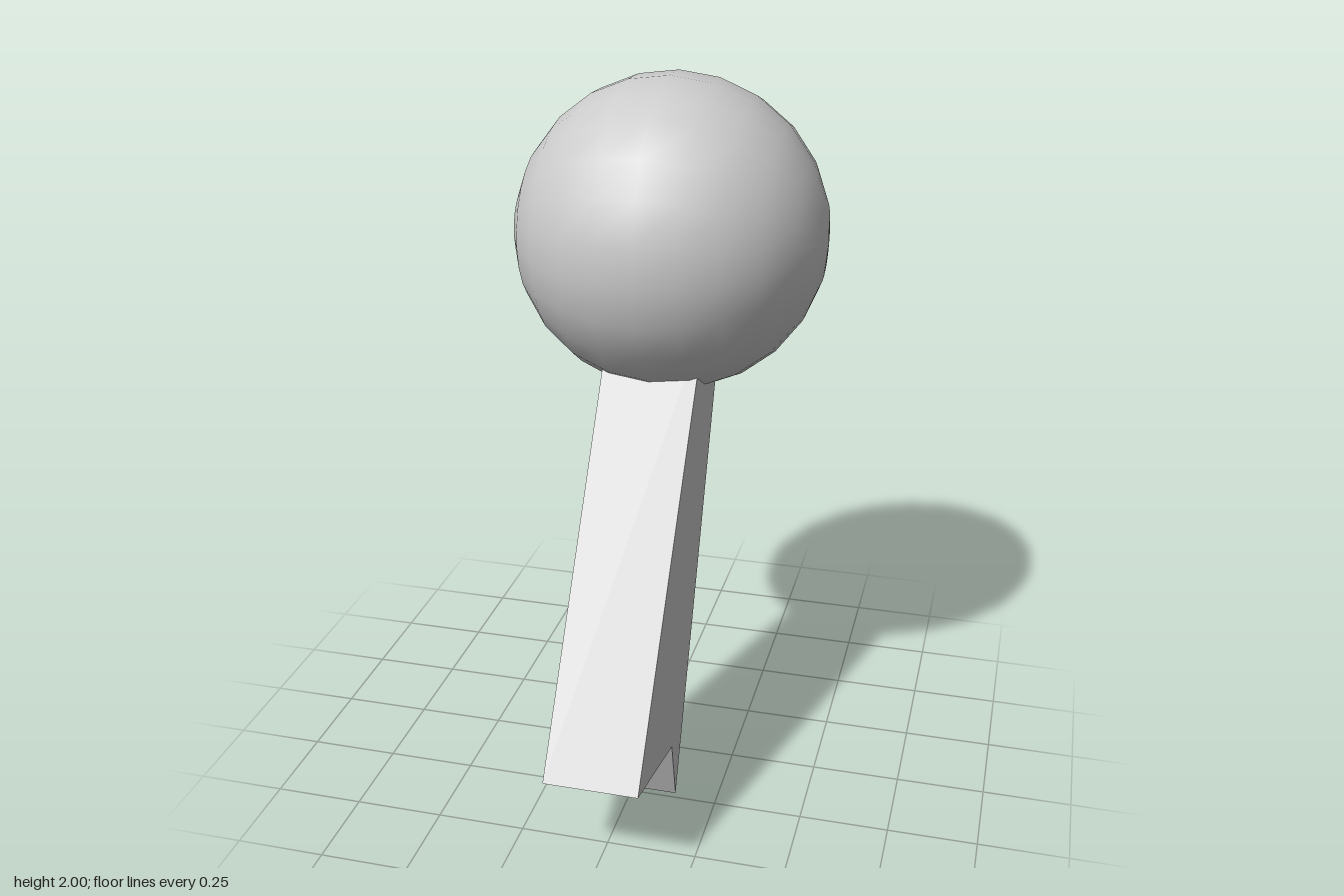
import * as THREE from 'three';

const material = new THREE.MeshStandardMaterial({ color: 0xcccccc });

// Six-point cross-section loop from front, middle and back [halfWidth, y, z]
function section(rows) {
  const left = rows.map(([x, y, z]) => [x, y, z]);
  const right = rows.map(([x, y, z]) => [-x, y, z]).reverse();
  return [...left, ...right];
}

// Flat-faced shaft joining two loops, each end closed by two quads
function shaftGeometry(bottom, top) {
  const positions = [];
  const quad = (a, b, c, d) => positions.push(...a, ...b, ...c, ...a, ...c, ...d);
  for (let i = 0; i < 6; i++) {
    const j = (i + 1) % 6;
    quad(bottom[i], bottom[j], top[j], top[i]);
  }
  for (let i = 0; i < 2; i++) {
    quad(bottom[i], bottom[5 - i], bottom[4 - i], bottom[i + 1]);
    quad(top[i], top[i + 1], top[4 - i], top[5 - i]);
  }
  const geometry = new THREE.BufferGeometry();
  geometry.setAttribute('position', new THREE.Float32BufferAttribute(positions, 3));
  geometry.computeVertexNormals();
  return geometry;
}

export function createModel() {
  const group = new THREE.Group();

  // Round head with its poles pointing sideways
  const ball = new THREE.SphereGeometry(0.443, 24, 12);
  ball.rotateZ(Math.PI / 2);
  ball.rotateX(THREE.MathUtils.degToRad(5));
  const head = new THREE.Mesh(ball, material);
  head.name = 'head';
  head.position.set(0, 1.559, -0.22);
  group.add(head);

  // Leaning shaft, flared downwards and notched at its lower end
  const bottom = section([[0.131, 0.285, 0.66], [0.139, 0.222, 0.32], [0.129, 0, 0.23]]);
  const top = section([[0.135, 1.36, -0.053], [0.141, 1.33, -0.16], [0.138, 1.28, -0.246]]);
  const shaft = new THREE.Mesh(shaftGeometry(bottom, top), material);
  shaft.name = 'shaft';
  group.add(shaft);

  return group;
}
